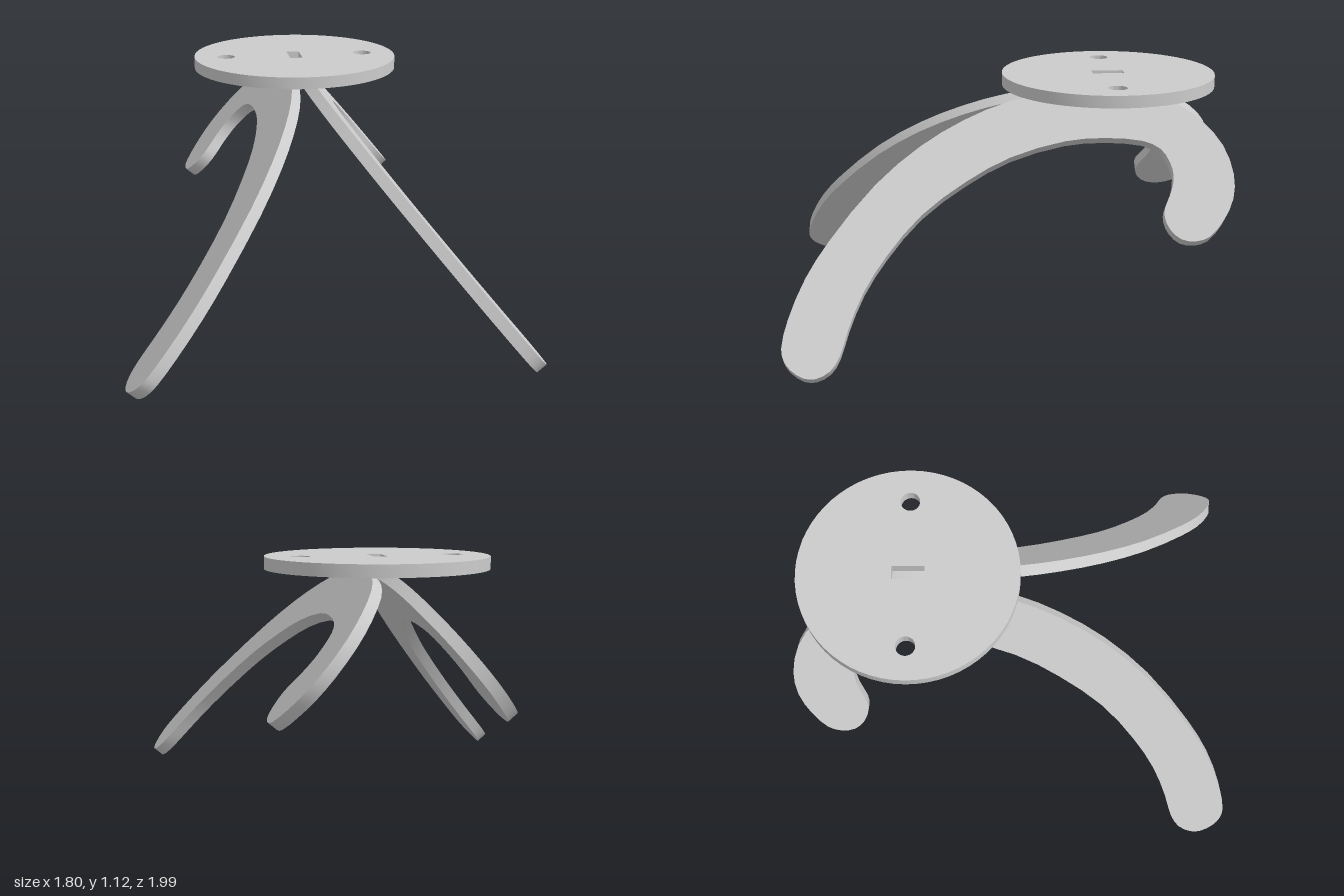
import * as THREE from 'three';
import { toCreasedNormals } from 'three/addons/utils/BufferGeometryUtils.js';

const THICK = 0.053;
const SIN = 0.767, COS = 0.642; // slope of the leaning legs

// Outline of a hooked leg: [z, height], starting at the foot and going over the top
const LEG_OUTLINE = [
  [0.995, 0.14], [0.97, 0.235], [0.9, 0.375], [0.8, 0.505], [0.6, 0.705], [0.4, 0.845],
  [0.2, 0.943], [0, 1.01], [-0.2, 1.045], [-0.43, 1.059], [-0.6, 1.045], [-0.75, 1.005],
  [-0.88, 0.925], [-0.965, 0.83], [-0.999, 0.72], [-0.985, 0.63], [-0.93, 0.55], [-0.86, 0.492],
  [-0.8, 0.477], [-0.735, 0.485], [-0.69, 0.52], [-0.67, 0.565], [-0.676, 0.603], [-0.71, 0.66],
  [-0.727, 0.72], [-0.715, 0.77], [-0.68, 0.82], [-0.6, 0.852], [-0.42, 0.865], [-0.25, 0.855],
  [0, 0.797], [0.2, 0.71], [0.4, 0.59], [0.55, 0.45], [0.65, 0.325], [0.715, 0.2],
  [0.75, 0.11], [0.79, 0.06], [0.85, 0.036], [0.9, 0.039], [0.955, 0.067], [0.985, 0.1],
];

function createLeg(side, material) {
  const outline = new THREE.CatmullRomCurve3(
    LEG_OUTLINE.map(([z, y]) => new THREE.Vector3(z, y / SIN, 0)), true);
  const shape = new THREE.Shape(outline.getPoints(84).slice(0, -1).map((p) => new THREE.Vector2(p.x, p.y)));
  const geometry = new THREE.ExtrudeGeometry(shape, { depth: THICK, bevelEnabled: false });
  if (side < 0) geometry.translate(0, 0, -THICK);

  // Lay the flat plate in its leaning plane
  const along = new THREE.Vector3(0, 0, 1);
  const up = new THREE.Vector3(-side * COS, SIN, 0).normalize();
  const normal = new THREE.Vector3().crossVectors(along, up);
  geometry.applyMatrix4(new THREE.Matrix4().makeBasis(along, up, normal).setPosition(side * 0.927, 0, 0));

  const leg = new THREE.Mesh(toCreasedNormals(geometry, 0.7), material);
  leg.name = side > 0 ? 'leftLeg' : 'rightLeg';
  return leg;
}

function createTopPlate(material) {
  const shape = new THREE.Shape();
  shape.absarc(0, 0, 0.487, 0, Math.PI * 2);

  // Two screw holes
  for (const x of [-0.335, 0.335]) {
    const hole = new THREE.Path();
    hole.absarc(x, 0, 0.043, 0, Math.PI * 2, true);
    shape.holes.push(hole);
  }

  // Central slot
  shape.holes.push(new THREE.Path([[-0.03, -0.072], [-0.03, 0.072], [0.03, 0.072], [0.03, -0.072]]
    .map(([x, y]) => new THREE.Vector2(x, y))));

  const geometry = new THREE.ExtrudeGeometry(shape, { depth: 0.055, bevelEnabled: false, curveSegments: 32 });
  geometry.rotateX(-Math.PI / 2);
  const plate = new THREE.Mesh(toCreasedNormals(geometry, 0.7), material);
  plate.name = 'topPlate';
  plate.position.set(0, 1.07, -0.465);
  return plate;
}

export function createModel() {
  const material = new THREE.MeshStandardMaterial({ color: 0xcccccc });
  const model = new THREE.Group();
  model.name = 'stool';
  model.add(createTopPlate(material), createLeg(1, material), createLeg(-1, material));
  return model;
}
